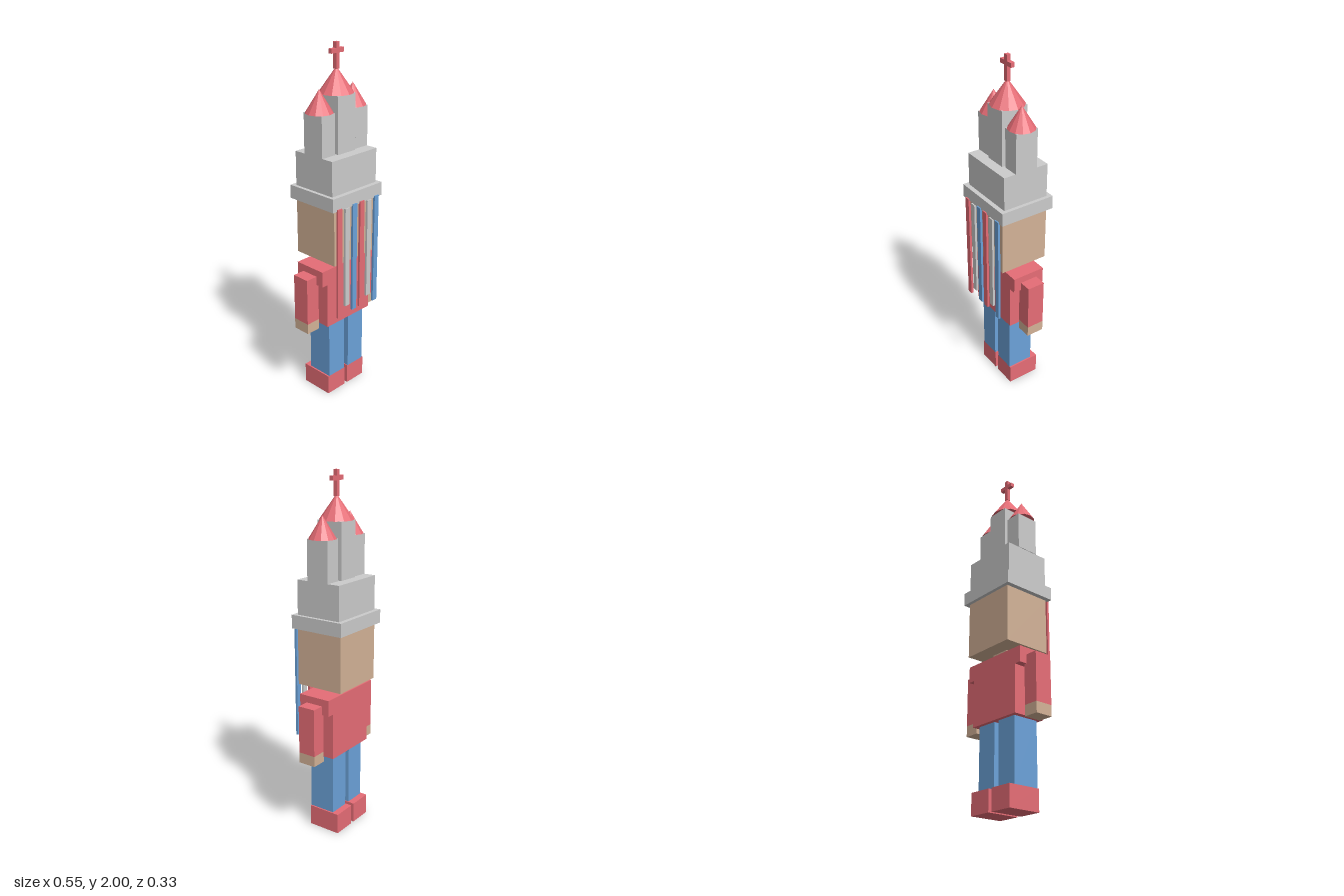
import * as THREE from 'three';

const mat = (color) => new THREE.MeshStandardMaterial({ color, flatShading: true });

export function createModel() {
  const model = new THREE.Group();
  const grey = mat(0xcccccc);
  const red = mat(0xe66d76);
  const blue = mat(0x6ba2d9);
  const tan = mat(0xd3b297);
  const midZ = -0.004;

  // Box given by its centre x, width, bottom, top, back and front
  function box(name, material, x, width, y0, y1, z0, z1) {
    const mesh = new THREE.Mesh(new THREE.BoxGeometry(width, y1 - y0, z1 - z0), material);
    mesh.position.set(x, (y0 + y1) / 2, (z0 + z1) / 2);
    mesh.name = name;
    model.add(mesh);
  }

  // Twelve-sided pointed roof
  function roof(name, x, radius, y0, y1) {
    const mesh = new THREE.Mesh(new THREE.ConeGeometry(radius, y1 - y0, 12), red);
    mesh.position.set(x, (y0 + y1) / 2, midZ);
    mesh.name = name;
    model.add(mesh);
  }

  // Legs, arms and side towers, mirrored
  for (const [side, s] of [['left', 1], ['right', -1]]) {
    box(side + 'Shoe', red, s * 0.079, 0.134, 0, 0.117, -0.117, 0.074);
    box(side + 'Leg', blue, s * 0.077, 0.121, 0.117, 0.467, -0.078, 0.074);
    box(side + 'Arm', red, s * 0.234, 0.085, 0.51, 0.78, -0.055, 0.047);
    box(side + 'Hand', tan, s * 0.234, 0.085, 0.45, 0.51, -0.055, 0.047);
    box(side + 'Tower', grey, s * 0.123, 0.094, 1.44, 1.66, -0.069, 0.061);
    roof(side + 'TowerRoof', s * 0.123, 0.074, 1.66, 1.78);
  }

  // Body and head
  box('torso', red, 0, 0.334, 0.467, 0.82, -0.1, 0.092);
  box('shoulders', red, 0, 0.412, 0.73, 0.82, -0.1, 0.092);
  box('neck', tan, 0, 0.11, 0.82, 0.855, -0.058, 0.05);
  box('head', tan, 0, 0.32, 0.855, 1.175, -0.145, 0.137);

  // Castle-shaped hat
  box('hatBrim', grey, 0, 0.374, 1.175, 1.25, -0.165, 0.156);
  box('hatBase', grey, 0, 0.334, 1.25, 1.44, -0.139, 0.13);
  box('centreTower', grey, 0, 0.128, 1.44, 1.745, -0.08, 0.072);
  roof('centreTowerRoof', 0, 0.093, 1.745, 1.878);

  // Cross on the centre roof
  box('crossPost', red, 0, 0.022, 1.865, 2, midZ - 0.011, midZ + 0.011);
  box('crossBar', red, 0, 0.091, 1.945, 1.969, midZ - 0.011, midZ + 0.011);

  // Ribbons hanging from the brim in front of the face
  const ribbons = [
    [red, 1.185, 0.545], [grey, 1.175, 0.6], [blue, 1.185, 0.555],
    [red, 1.185, 0.555], [grey, 1.175, 0.6], [blue, 1.185, 0.545],
  ];
  ribbons.forEach(([material, top, bottom], i) => {
    box('ribbon' + (i + 1), material, (i - 2.5) * 0.0567, 0.032, bottom, top, 0.15, 0.163);
  });

  return model;
}
